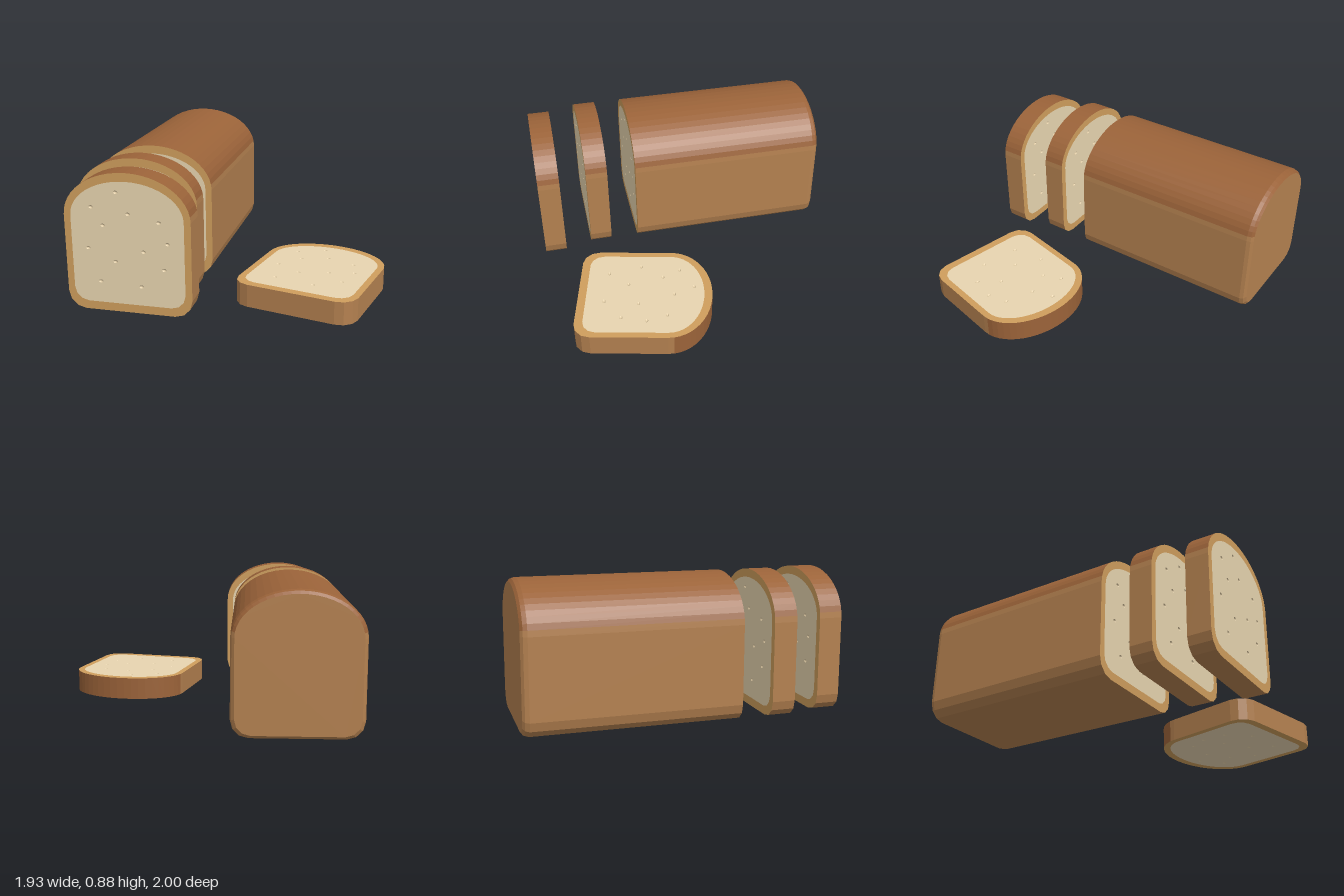
import * as THREE from 'three';

const material = (color, extra = {}) => new THREE.MeshStandardMaterial({ color, ...extra });
const SIDE = material(0xb48150, { flatShading: true });
const DOME = material(0x9b6339, { flatShading: true });
const RIM = material(0xcf9e5d);
const CRUMB = material(0xe8d5b0);
const PORE = material(0xe0cba4, { side: THREE.DoubleSide });

// Pore centres on a cut face, relative to the middle of the bottom edge
const PORES = [
  [-0.06, 0.76], [-0.22, 0.66], [0.01, 0.63], [0.2, 0.59], [-0.15, 0.55], [0.25, 0.46],
  [-0.25, 0.4], [0.1, 0.4], [-0.08, 0.325], [0.225, 0.295], [-0.18, 0.19], [0.08, 0.175],
];
const PORE_R = 0.015, PORE_SIDES = 10, PORE_FLAT = 0.7;
const CORNER_SEGS = 3, DOME_SEGS = 24;

function mesh(name, geometry, mat) {
  const m = new THREE.Mesh(geometry, mat);
  m.name = name;
  return m;
}

// Bread outline, counterclockwise: rounded bottom corners, straight sides, elliptical dome
function outline(dx = 0, dy = dx) {
  const w = 0.395 - dx, r = 0.11 - dx * 0.5, pts = [];
  const arc = (cx, cy, rx, ry, from, to, n) => {
    for (let i = 0; i <= n; i++) {
      const a = (from + (to - from) * i / n) * Math.PI;
      pts.push(new THREE.Vector2(cx + rx * Math.cos(a), cy + ry * Math.sin(a)));
    }
  };
  arc(w - r, dy + r, r, r, -0.5, 0, CORNER_SEGS);
  arc(0, 0.6, w, 0.28 - dy, 0, 1, DOME_SEGS);
  arc(r - w, dy + r, r, r, 1, 1.5, CORNER_SEGS);
  return pts;
}

// Crust walls through a list of [z, inset] rings, front to back; darker on the dome
function crust(rings) {
  const loops = rings.map(([z, d]) => outline(d).map(p => [p.x, p.y, z]));
  const side = [], dome = [], n = loops[0].length;
  const first = CORNER_SEGS + 2, last = CORNER_SEGS + DOME_SEGS - 1;
  for (let k = 0; k < loops.length - 1; k++) {
    for (let i = 0; i < n; i++) {
      const j = (i + 1) % n, f = loops[k], b = loops[k + 1];
      const out = i >= first && i <= last ? dome : side;
      out.push(...f[i], ...b[i], ...b[j], ...f[i], ...b[j], ...f[j]);
    }
  }
  const build = list => {
    const g = new THREE.BufferGeometry();
    g.setAttribute('position', new THREE.Float32BufferAttribute(list, 3));
    g.computeVertexNormals();
    return g;
  };
  const group = new THREE.Group();
  group.name = 'crust';
  group.add(mesh('sideCrust', build(side), SIDE), mesh('topCrust', build(dome), DOME));
  return group;
}

// Cut face looking along +z: crust rim, crumb and shallow pores
function cutFace(z, backwards = false) {
  const group = new THREE.Group();
  group.name = backwards ? 'backCutFace' : 'frontCutFace';
  const inner = outline(0.042, 0.053);
  const rim = new THREE.Shape(outline());
  rim.holes.push(new THREE.Path(inner));
  const crumb = new THREE.Shape(inner);

  const bowl = new THREE.LatheGeometry(
    [[0, -0.008], [0.6, -0.006], [1, 0]].map(([r, y]) => new THREE.Vector2(r * PORE_R, y)), PORE_SIDES);
  bowl.rotateX(Math.PI / 2);
  bowl.scale(1, PORE_FLAT, 1);
  for (const [x, y] of PORES) {
    const ring = [];
    for (let i = 0; i < PORE_SIDES; i++) {
      const a = i / PORE_SIDES * Math.PI * 2;
      ring.push(new THREE.Vector2(x + PORE_R * Math.sin(a), y - PORE_R * PORE_FLAT * Math.cos(a)));
    }
    crumb.holes.push(new THREE.Path(ring));
    const pore = mesh('pore', bowl, PORE);
    pore.position.set(x, y, 0);
    group.add(pore);
  }
  group.add(mesh('crustRim', new THREE.ShapeGeometry(rim), RIM));
  group.add(mesh('crumb', new THREE.ShapeGeometry(crumb), CRUMB));
  group.position.z = z;
  if (backwards) group.rotation.y = Math.PI;
  return group;
}

// Slice standing on y = 0 from z = 0 to z = thickness
function slice(name, thickness) {
  const group = new THREE.Group();
  group.name = name;
  group.add(crust([[thickness, 0], [0, 0]]), cutFace(thickness), cutFace(0, true));
  return group;
}

export function createModel() {
  const model = new THREE.Group();
  model.name = 'slicedBread';

  // Uncut loaf with a softened back end
  const loaf = new THREE.Group();
  loaf.name = 'loaf';
  const endInset = 0.025;
  loaf.add(crust([[0.325, 0], [-0.96, 0], [-0.985, 0.008], [-1, endInset]]), cutFace(0.325));
  const heel = mesh('heelEnd', new THREE.ShapeGeometry(new THREE.Shape(outline(endInset))), SIDE);
  heel.rotation.y = Math.PI;
  heel.position.z = -1;
  loaf.add(heel);
  loaf.position.x = -0.57;

  // Two standing slices
  const middle = slice('middleSlice', 0.147);
  middle.position.set(-0.57, 0, 0.521);
  const front = slice('frontSlice', 0.147);
  front.position.set(-0.51, 0, 0.853);

  // Slice lying flat, turned a little
  const flat = slice('flatSlice', 0.147);
  flat.rotation.set(-Math.PI / 2, 0, -0.227);
  flat.position.set(0.44, 0, 0.828);

  model.add(loaf, middle, front, flat);
  return model;
}
